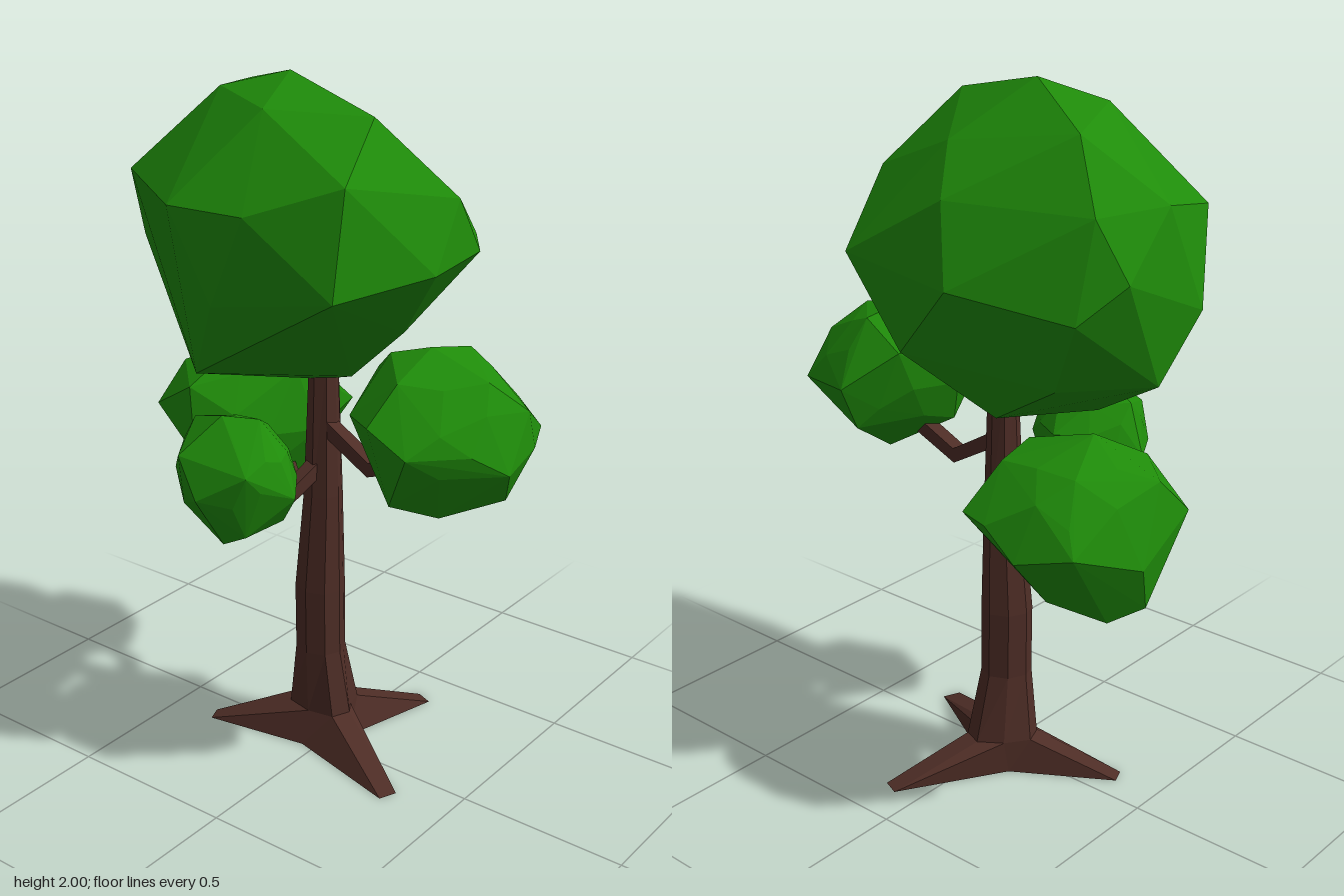
import * as THREE from 'three';
import { ConvexGeometry } from 'three/addons/geometries/ConvexGeometry.js';

const bark = new THREE.MeshStandardMaterial({ color: 0x4e2d26, flatShading: true });
const leaf = new THREE.MeshStandardMaterial({ color: 0x1f8c0a, flatShading: true });
const V = (x, y, z) => new THREE.Vector3(x, y, z);

// Skin a series of closed rings and cap both ends
function loft(rings) {
  const pos = [];
  const tri = (...pts) => pts.forEach(p => pos.push(p.x, p.y, p.z));
  const n = rings[0].length;
  const centre = ring => ring.reduce((s, p) => s.add(p), V(0, 0, 0)).divideScalar(n);
  const first = rings[0], last = rings[rings.length - 1];
  const c0 = centre(first), c1 = centre(last);
  for (let i = 0; i < n; i++) {
    const j = (i + 1) % n;
    for (let k = 0; k + 1 < rings.length; k++) {
      const lo = rings[k], hi = rings[k + 1];
      tri(lo[i], hi[i], lo[j]);
      tri(lo[j], hi[i], hi[j]);
    }
    tri(c0, first[i], first[j]);
    tri(c1, last[j], last[i]);
  }
  const g = new THREE.BufferGeometry();
  g.setAttribute('position', new THREE.Float32BufferAttribute(pos, 3));
  g.computeVertexNormals();
  return g;
}

// Trunk flaring into three pointed roots: each root owns two edges, plus a valley edge
function trunkGeometry() {
  const roots = [[23, 0.39], [159, 0.345], [292, 0.377]];
  // height, centre x, centre z, root radius (0 = full root length), valley radius, half angle
  const levels = [
    [0, -0.04, -0.03, 0, 0.09, 4],
    [0.1, -0.042, -0.052, 0.102, 0.08, 17],
    [0.3, -0.043, -0.035, 0.073, 0.069, 20],
    [0.5, -0.045, -0.035, 0.073, 0.069, 20],
    [0.8, -0.035, -0.037, 0.056, 0.053, 20],
    [1.18, -0.04, -0.045, 0.042, 0.042, 20],
  ];
  return loft(levels.map(([y, cx, cz, r, valley, half]) => roots.flatMap(([deg, len], i) => {
    const next = roots[(i + 1) % 3][0] + (i === 2 ? 360 : 0);
    const at = (a, rad) => {
      const t = THREE.MathUtils.degToRad(a);
      return V(cx + rad * Math.cos(t), y, cz + rad * Math.sin(t));
    };
    return [at(deg - half, r || len), at(deg + half, r || len), at((deg + next) / 2, valley)];
  })));
}

// Bent branch with a four-sided section
function branchGeometry(points, radius) {
  const p = points.map(q => V(...q));
  return loft(p.map((c, i) => {
    const dir = p[Math.min(i + 1, p.length - 1)].clone().sub(p[Math.max(i - 1, 0)]).normalize();
    const u = dir.clone().cross(V(0, 1, 0)).normalize();
    const v = u.clone().cross(dir);
    return [0, 1, 2, 3].map(k => {
      const a = (k + 0.5) * Math.PI / 2;
      return c.clone().addScaledVector(u, radius * Math.cos(a)).addScaledVector(v, radius * Math.sin(a));
    });
  }));
}

// Faceted leaf mass: hull of its outer corners, rounded out by an inscribed ball
function crownGeometry(corners, fill) {
  const pts = corners.map(c => V(...c));
  const box = new THREE.Box3().setFromPoints(pts);
  const mid = box.getCenter(V(0, 0, 0)), half = box.getSize(V(0, 0, 0)).multiplyScalar(fill / 2);
  const ball = new THREE.IcosahedronGeometry(1, 1).getAttribute('position');
  for (let i = 0; i < ball.count; i++) {
    pts.push(V(0, 0, 0).fromBufferAttribute(ball, i).multiply(half).add(mid));
  }
  return new ConvexGeometry(pts);
}

const crowns = {
  mainCrown: [
    [-0.09, 2, 0.03], [-0.38, 1.92, -0.16], [0.23, 1.93, 0.1], [-0.27, 1.95, 0.1], [-0.02, 1.94, 0.23],
    [0.29, 1.8, 0.3], [0.39, 1.72, -0.05], [0.41, 1.55, 0.08], [0.41, 1.57, -0.12],
    [-0.18, 1.71, 0.42], [0.05, 1.71, 0.4], [-0.52, 1.71, 0.19], [0.29, 1.52, 0.35], [-0.06, 1.46, 0.4],
    [-0.18, 1.55, -0.43], [0.27, 1.55, -0.32], [-0.5, 1.5, -0.32], [-0.59, 1.6, -0.23], [-0.61, 1.48, 0.05],
    [-0.58, 1.76, -0.06], [-0.1, 1.75, -0.35], [0, 1.35, -0.4], [0.26, 1.35, 0], [0.06, 1.17, -0.04],
    [-0.05, 1.135, -0.05], [-0.33, 1.16, 0], [-0.57, 1.3, -0.07], [-0.2, 1.18, -0.26], [-0.15, 1.25, 0.36],
    [-0.4, 1.3, -0.27], [-0.5, 1.75, -0.25],
  ],
  rightCrown: [
    [0.35, 1.33, 0], [0.54, 1.28, 0.02], [0.62, 1.2, -0.05], [0.635, 1.06, 0.06], [0.635, 1.1, -0.06],
    [0.59, 0.96, 0], [0.45, 0.905, 0.1], [0.36, 0.905, -0.08], [0.2, 1, 0.02], [0.165, 1.12, 0],
    [0.24, 1.3, 0.03], [0.37, 1.12, -0.26], [0.57, 1.1, -0.2], [0.57, 1.12, 0.14], [0.45, 1.12, 0.26],
    [0.33, 1.18, 0.26], [0.36, 1.28, 0.17], [0.36, 0.95, 0.2], [0.38, 1.3, -0.14], [0.35, 1, -0.22],
    [0.21, 1.16, 0.17], [0.18, 1.24, 0], [0.24, 1.23, -0.16],
  ],
  backLeftCrown: [
    [-0.635, 0.86, -0.2], [-0.6, 1.06, -0.09], [-0.41, 1.15, -0.12], [-0.22, 1.1, -0.15], [-0.61, 0.73, -0.15],
    [-0.54, 0.69, -0.22], [-0.46, 0.69, -0.12], [-0.25, 0.75, -0.2], [-0.18, 0.9, -0.2], [-0.545, 0.92, -0.37],
    [-0.39, 0.88, -0.415], [-0.28, 0.95, -0.4], [-0.615, 0.95, 0.02], [-0.22, 1.07, -0.26], [-0.42, 0.75, -0.32],
    [-0.4, 0.86, 0.1], [-0.45, 1.05, 0.06], [-0.18, 0.95, -0.37],
  ],
  frontCrown: [
    [-0.3, 0.94, 0.25], [-0.24, 1.08, 0.27], [-0.1, 1.13, 0.32], [-0.02, 1.12, 0.26], [0.06, 1.02, 0.27],
    [0.1, 0.92, 0.26], [0.05, 0.84, 0.25], [-0.07, 0.775, 0.36], [-0.1, 0.8, 0.2], [-0.24, 0.83, 0.27],
    [-0.1, 0.92, 0.435], [-0.17, 1.03, 0.42], [-0.1, 0.86, 0.13], [-0.1, 1, 0.1], [-0.21, 0.86, 0.36],
    [0.03, 1, 0.38], [0, 0.81, 0.35],
  ],
};

const branches = {
  rightBranch: [[-0.03, 1.02, -0.03], [0.14, 0.92, -0.03], [0.32, 0.99, -0.02]],
  backLeftBranch: [[-0.04, 0.83, -0.04], [-0.2, 0.73, -0.12], [-0.3, 0.82, -0.17]],
  frontBranch: [[-0.04, 0.89, -0.02], [-0.08, 0.79, 0.15], [-0.09, 0.88, 0.21]],
};

export function createModel() {
  const tree = new THREE.Group();
  tree.name = 'tree';
  const add = (name, geometry, material) => {
    const mesh = new THREE.Mesh(geometry, material);
    mesh.name = name;
    tree.add(mesh);
  };
  add('trunkAndRoots', trunkGeometry(), bark);
  for (const [name, path] of Object.entries(branches)) add(name, branchGeometry(path, 0.03), bark);
  for (const [name, corners] of Object.entries(crowns)) {
    add(name, crownGeometry(corners, name === 'mainCrown' ? 0.82 : 0.88), leaf);
  }
  return tree;
}
